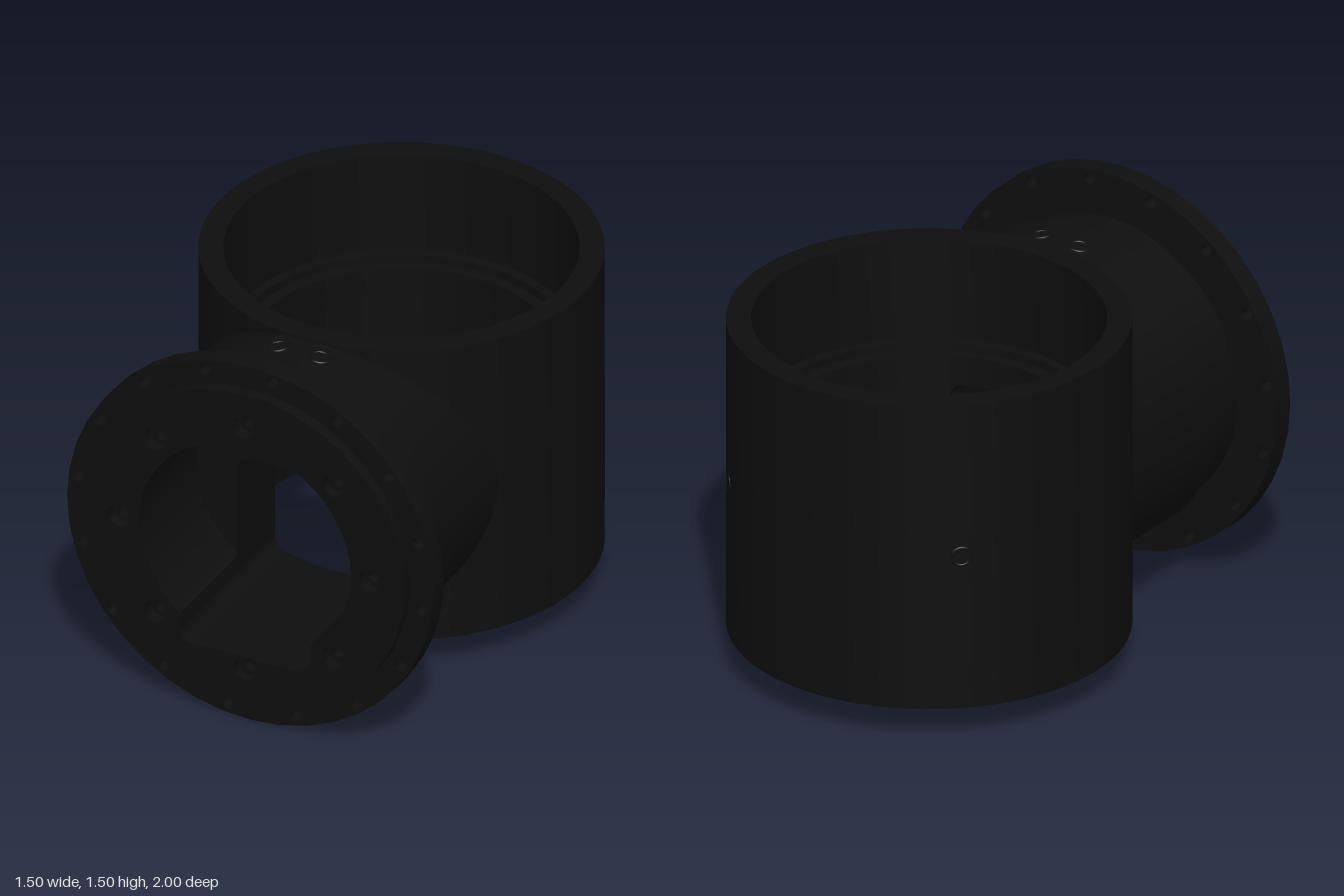
import * as THREE from 'three';
import { toCreasedNormals } from 'three/addons/utils/BufferGeometryUtils.js';

const CY = 0.755;            // height of the port axis
const CZ = -0.258;           // z of the barrel axis
const R_OUT = 0.742, R_BORE = 0.563;
const W = 0.265, TOP = 0.07, BOTTOM = -0.46, CORNER = 0.045; // window, relative to port axis

const material = new THREE.MeshStandardMaterial({ color: 0x0e0e0e, side: THREE.DoubleSide });

function add(parent, name, geometry) {
  const mesh = new THREE.Mesh(geometry, material);
  mesh.name = name;
  parent.add(mesh);
  return mesh;
}

const onBarrel = (x, r) => CZ + Math.sqrt(r * r - x * x);

function disc(r, x = 0, y = 0, Type = THREE.Path) {
  return new Type().absarc(x, y, r, 0, Math.PI * 2, false);
}

// Rounded lower edge shared by the window and the port opening
function lowerEdge(path) {
  path.lineTo(-W, BOTTOM + CORNER);
  path.absarc(-W + CORNER, BOTTOM + CORNER, CORNER, Math.PI, Math.PI * 1.5, false);
  path.absarc(W - CORNER, BOTTOM + CORNER, CORNER, -Math.PI / 2, 0, false);
  return path;
}

function windowPath() {
  const p = new THREE.Path();
  p.absarc(W - CORNER, TOP - CORNER, CORNER, 0, Math.PI / 2, false);
  p.absarc(-W + CORNER, TOP - CORNER, CORNER, Math.PI / 2, Math.PI, false);
  lowerEdge(p).closePath();
  return p;
}

// Round port merged with the lower part of the window
function portPath() {
  const r = 0.435, a = -Math.acos(W / r);
  const p = new THREE.Path();
  p.absarc(0, 0, r, a, Math.PI - a, false);
  lowerEdge(p).closePath();
  return p;
}

function ringOfHoles(count, radius, r, start) {
  return Array.from({ length: count }, (_, i) => {
    const a = start + (i / count) * Math.PI * 2;
    return disc(r, radius * Math.sin(a), radius * Math.cos(a));
  });
}

// Round plate of the port between two z values
function plate(r, z0, z1, holes = []) {
  const shape = disc(r, 0, 0, THREE.Shape);
  shape.holes.push(portPath(), ...holes);
  const g = new THREE.ExtrudeGeometry(shape, { depth: z1 - z0, bevelEnabled: false, curveSegments: 20 });
  return toCreasedNormals(g.translate(0, CY, z0), 0.5);
}

// Wall from a flat front edge back to a cylinder around the barrel axis
function sleeve(path, zFront, r) {
  const points = path.getSpacedPoints(120), pos = [], index = [];
  points.forEach((p, i) => {
    pos.push(p.x, p.y + CY, zFront, p.x, p.y + CY, onBarrel(p.x, r));
    if (i) {
      const k = 2 * i;
      index.push(k - 2, k - 1, k, k, k - 1, k + 1);
    }
  });
  const g = new THREE.BufferGeometry();
  g.setAttribute('position', new THREE.Float32BufferAttribute(pos, 3));
  g.setIndex(index);
  return toCreasedNormals(g, 0.5);
}

function lathe(profile, gap = 0) {
  const g = new THREE.LatheGeometry(profile.map(p => new THREE.Vector2(...p)), 72, gap, Math.PI * 2 - 2 * gap);
  return toCreasedNormals(g, 0.4).translate(0, 0, CZ);
}

// Small socket: raised rim around a hollow screw seat
function socket(parent, name, position, direction) {
  const group = new THREE.Group();
  group.name = name;
  add(group, 'socketRim', new THREE.TorusGeometry(0.035, 0.006, 8, 24));
  add(group, 'socketSeat', new THREE.RingGeometry(0.018, 0.035, 24)).position.z = 0.003;
  group.position.copy(position);
  group.quaternion.setFromUnitVectors(new THREE.Vector3(0, 0, 1), direction);
  parent.add(group);
}

export function createModel() {
  const model = new THREE.Group();
  model.name = 'pipeHousing';

  // Barrel: rings below and above the window, open arc beside it
  const barrel = new THREE.Group();
  barrel.name = 'barrel';
  model.add(barrel);
  const y0 = CY + BOTTOM, y1 = CY + TOP, gap = Math.asin(W / R_BORE);
  add(barrel, 'barrelBase', lathe([
    [R_BORE, y0], [R_BORE, 0.17], [0.585, 0.165], [0.585, 0.14], [R_OUT, 0.14], [R_OUT, y0]]));
  add(barrel, 'barrelInnerWall', lathe([[R_BORE, y1], [R_BORE, y0]], gap));
  add(barrel, 'barrelOuterWall', lathe([[R_OUT, y0], [R_OUT, y1]], gap));
  add(barrel, 'barrelTop', lathe([
    [R_OUT, y1], [R_OUT, 1.37], [0.65, 1.37], [0.65, 0.97], [0.61, 0.97],
    [0.61, 0.94], [R_BORE, 0.94], [R_BORE, y1]]));

  // Fillets that round the window corners in the bore
  for (const sx of [-1, 1]) {
    for (const [edge, sy] of [[TOP, 1], [BOTTOM, -1]]) {
      const s = new THREE.Shape().moveTo(sx * W, edge);
      for (let i = 0; i <= 6; i++) {
        const a = (i / 6) * Math.PI / 2;
        s.lineTo(sx * (W - CORNER + CORNER * Math.cos(a)), edge - sy * CORNER * (1 - Math.sin(a)));
      }
      const g = new THREE.ShapeGeometry(s), p = g.attributes.position;
      for (let i = 0; i < p.count; i++) p.setZ(i, onBarrel(p.getX(i), R_BORE));
      g.translate(0, CY, 0).computeVertexNormals();
      add(barrel, 'windowFillet', g);
    }
  }

  // Side port: stacked plates, collar and window tunnel
  const port = new THREE.Group();
  port.name = 'sidePort';
  model.add(port);
  const step = Math.PI / 24;
  add(port, 'flangeLip', plate(0.655, 0.955, 1, ringOfHoles(8, 0.515, 0.045, 0)));
  add(port, 'flange', plate(0.75, 0.87, 0.955, [
    ...ringOfHoles(16, 0.711, 0.023, step), ...ringOfHoles(8, 0.515, 0.026, 0)]));
  add(port, 'neck', plate(0.575, 0.7, 0.87));
  add(port, 'collar', plate(0.61, 0.53, 0.7));
  add(port, 'collarSkirt', sleeve(disc(0.61), 0.53, 0.7));
  add(port, 'windowTunnel', sleeve(windowPath(), 0.53, R_BORE));
  const back = disc(0.6, 0, 0, THREE.Shape);
  back.holes.push(windowPath());
  add(port, 'portBackWall', new THREE.ShapeGeometry(back, 20).translate(0, CY, 0.53));

  // Screw sockets on the collar and the rear of the barrel
  for (const sx of [-1, 1]) {
    for (const sy of [-1, 1]) {
      const n = new THREE.Vector3(sx * 0.139, sy * 0.99, 0).normalize();
      const p = n.clone().multiplyScalar(0.608).add(new THREE.Vector3(0, CY, 0.56));
      socket(port, 'collarSocket', p, n);
    }
    const n = new THREE.Vector3(sx, 0, -1).normalize();
    const p = n.clone().multiplyScalar(R_OUT - 0.002).add(new THREE.Vector3(0, CY, CZ));
    socket(barrel, 'barrelSocket', p, n);
  }
  return model;
}
